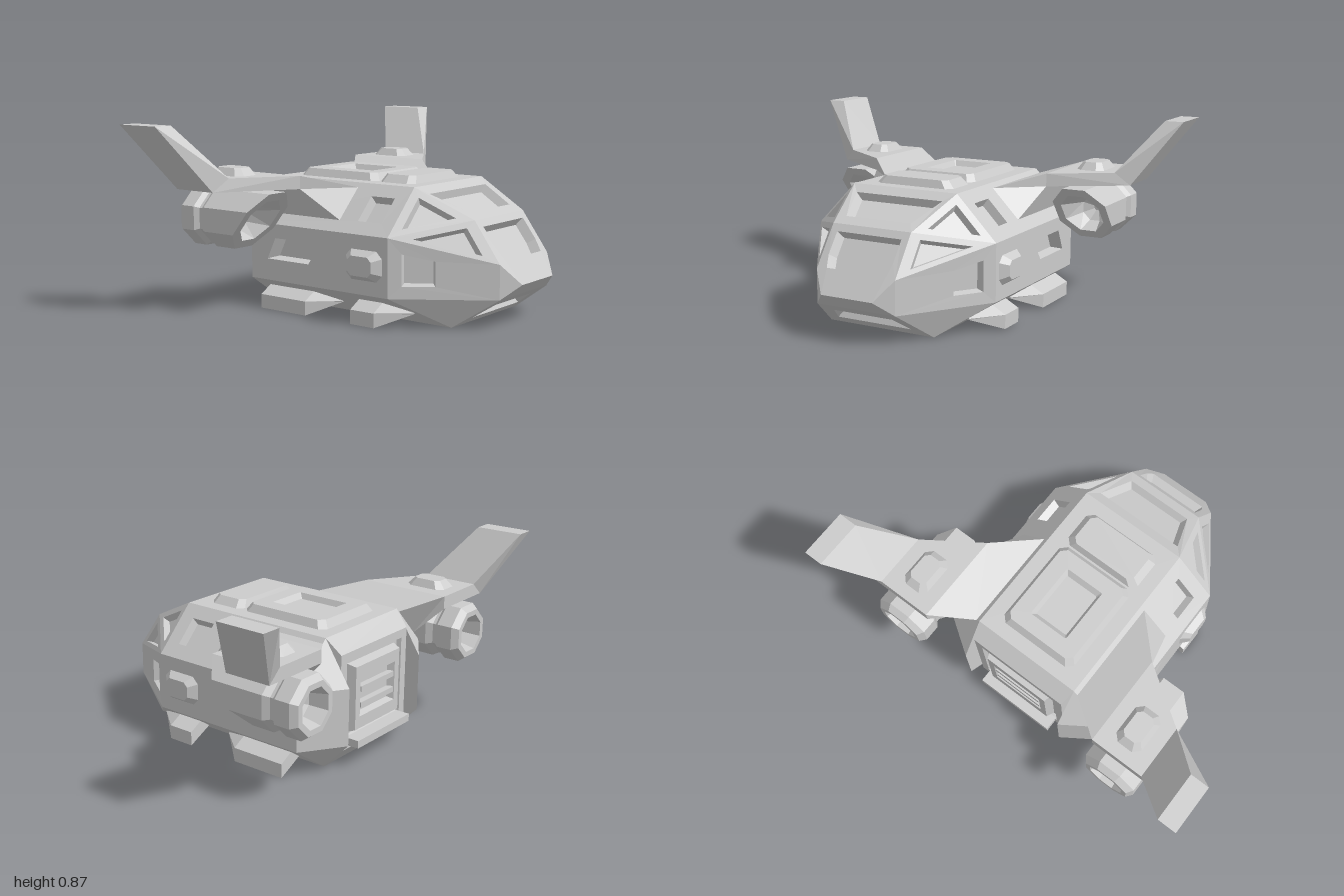
import * as THREE from 'three';

const material = new THREE.MeshStandardMaterial({ color: 0xcccccc, flatShading: true });
const vec = p => new THREE.Vector3(...p);
const flipX = ([x, y, z]) => [-x, y, z];
const centre = pts => pts.reduce((s, p) => s.add(vec(p)), new THREE.Vector3()).divideScalar(pts.length);

// Newell normal of a polygon
function normalOf(pts) {
  const n = new THREE.Vector3();
  pts.forEach((p, i) => n.add(vec(p).cross(vec(pts[(i + 1) % pts.length]))));
  return n.normalize();
}
function fan(tris, pts) {
  for (let i = 1; i < pts.length - 1; i++) tris.push([pts[0], pts[i], pts[i + 1]]);
}
function band(tris, a, b) {
  a.forEach((p, i) => {
    const j = (i + 1) % a.length;
    fan(tris, [p, a[j], b[j], b[i]]);
  });
}

// Face with an optional inset: depth > 0 sinks it, depth < 0 raises it.
function panel(tris, outer, { inner = null, depth = 0, shrink = 0.88, out = null, open = false } = {}) {
  const dir = out ? vec(out) : centre(outer).sub(new THREE.Vector3(0, 0.3, 0));
  if (normalOf(outer).dot(dir) < 0) {
    outer = [...outer].reverse();
    inner = inner && [...inner].reverse();
  }
  if (!inner) { fan(tris, outer); return outer; }
  band(tris, outer, inner);
  const c = centre(inner), n = normalOf(outer);
  const floor = inner.map(p => vec(p).sub(c).multiplyScalar(shrink).add(c).addScaledVector(n, -depth).toArray());
  band(tris, inner, floor);
  if (!open) fan(tris, floor);
  return floor;
}
const bump = (tris, outline, height, shrink, out, open = false) =>
  panel(tris, outline, { inner: outline, depth: -height, shrink, out, open });
const inset = (pts, k) => {
  const c = centre(pts);
  return pts.map(p => vec(p).lerp(c, 1 - k).toArray());
};

// Closed skin through a row of cross-sections, turned outward by its volume
function loft(rings) {
  const tris = [];
  for (let i = 0; i < rings.length - 1; i++) band(tris, rings[i], rings[i + 1]);
  fan(tris, [...rings[0]].reverse());
  fan(tris, rings[rings.length - 1]);
  const volume = tris.reduce((s, [a, b, c]) => s + vec(a).dot(vec(b).cross(vec(c))), 0);
  return volume < 0 ? tris.map(([a, b, c]) => [a, c, b]) : tris;
}
function add(group, name, tris) {
  const geo = new THREE.BufferGeometry();
  geo.setAttribute('position', new THREE.Float32BufferAttribute(tris.flat(2), 3));
  geo.computeVertexNormals();
  const mesh = new THREE.Mesh(geo, material);
  mesh.name = name;
  group.add(mesh);
}
function addPair(group, name, tris) {
  add(group, name + 'Left', tris);
  add(group, name + 'Right', tris.map(([a, b, c]) => [flipX(a), flipX(c), flipX(b)]));
}
function addBox(group, name, w, h, d, x, y, z) {
  const mesh = new THREE.Mesh(new THREE.BoxGeometry(w, h, d), material);
  mesh.position.set(x, y, z);
  mesh.name = name;
  group.add(mesh);
}
// Rectangle with cut corners in two coordinates
const cutRect = (a0, a1, b0, b1, c, place) => [
  [a0 + c, b0], [a1 - c, b0], [a1, b0 + c], [a1, b1 - c],
  [a1 - c, b1], [a0 + c, b1], [a0, b1 - c], [a0, b0 + c]].map(([a, b]) => place(a, b));
const mirrorQuad = (a, b) => [a, flipX(a), flipX(b), b];

export function createModel() {
  const ship = new THREE.Group();
  ship.name = 'dropship';

  // Hull corner points on the left side: roof, shoulder, lower side, keel
  const R = [0.27, 0.6, 0.3], M = [0.465, 0.4, 0.3], L = [0.465, 0.135, 0.3], K = [0.27, 0, 0.5];
  const W = [0.2, 0.47, 0.57], U = [0.2, 0.29, 0.7], T = [0.13, 0.2, 0.77], S = [0.2, 0.135, 0.7];
  const back = ([x, y]) => [x, y, -0.5];
  const Rb = back(R), Mb = back(M), Lb = back(L), Kb = back(K);
  const At = [0.27, 0.4, -0.63], Ab = [0.27, 0.135, -0.63];

  // Hull sides
  const side = [];
  panel(side, [R, M, Mb, Rb], {
    inner: [[0.319, 0.55, 0.23], [0.416, 0.45, 0.23], [0.416, 0.45, 0.1], [0.319, 0.55, 0.1]], depth: 0.04 });
  panel(side, [M, L, Lb, Mb], {
    inner: [[0.465, 0.335, -0.08], [0.465, 0.235, -0.15], [0.465, 0.235, -0.4], [0.465, 0.335, -0.35]],
    depth: 0.05, shrink: 0.8 });
  panel(side, [L, K, Kb, Lb]);
  panel(side, [L, K, S]);
  panel(side, [U, S, T]);
  panel(side, [M, L, S, U], {
    inner: [[0.43, 0.33, 0.35], [0.43, 0.19, 0.35], [0.35, 0.19, 0.47], [0.35, 0.3, 0.47]], depth: 0.04 });
  for (const tri of [[R, M, W], [M, U, W]]) panel(side, tri, { inner: inset(tri, 0.62), depth: 0.03, shrink: 0.8 });
  // Rear corner wedges
  panel(side, [Mb, Lb, Ab, At]);
  panel(side, [Mb, Rb, At]);
  panel(side, [Lb, Kb, Ab]);
  panel(side, [Rb, Kb, Ab, At], { out: [-1, 0, 0] });
  addPair(ship, 'hullSide', side);

  // Hull centre: roof, belly, windscreens, chin
  const mid = [];
  panel(mid, mirrorQuad(R, Rb));
  panel(mid, mirrorQuad(K, Kb));
  panel(mid, mirrorQuad(R, W), {
    inner: mirrorQuad([0.225, 0.57, 0.35], [0.165, 0.495, 0.52]), depth: 0.035 });
  const brow = [W, U, T, flipX(T), flipX(U), flipX(W)];
  panel(mid, brow, {
    inner: [[0.165, 0.44, 0.592], [0.165, 0.35, 0.659], [0.15, 0.3, 0.696]]
      .flatMap((p, i, a) => i < 2 ? [p] : [p, ...a.map(flipX).reverse()]),
    depth: 0.04 });
  panel(mid, mirrorQuad(T, S));
  panel(mid, mirrorQuad(S, K), {
    inner: mirrorQuad([0.15, 0.1, 0.648], [0.19, 0.04, 0.559]), depth: 0.03, out: [0, -1, 1] });
  // Sloped rear frame
  const Ft = [0.25, 0.53, -0.57], Fb = [0.25, 0.08, -0.57];
  panel(mid, mirrorQuad(Rb, Ft));
  panel(mid, mirrorQuad(Kb, Fb), { out: [0, -1, -1] });
  for (const f of [p => p, flipX]) panel(mid, [Rb, Kb, Fb, Ft].map(f));
  panel(mid, mirrorQuad(Ft, Fb), {
    inner: mirrorQuad([0.21, 0.49, -0.57], [0.21, 0.13, -0.57]), depth: 0.02, shrink: 0.96 });
  addShell(ship, mid);

  // Rear door, window bars and sill
  const door = [];
  const doorCap = bump(door, mirrorQuad([0.18, 0.47, -0.55], [0.18, 0.15, -0.55]), 0.04, 0.92, [0, 0, -1], true);
  panel(door, doorCap, { inner: doorCap.map(([x, y, z]) => [x * 0.8, 0.31 + (y - 0.31) * 0.62, z]), depth: 0.03, out: [0, 0, -1] });
  add(ship, 'rearDoor', door);
  for (const y of [0.27, 0.345]) addBox(ship, 'doorBar', 0.25, 0.025, 0.03, 0, y, -0.575);
  addBox(ship, 'rearSill', 0.4, 0.035, 0.07, 0, 0.1175, -0.598);

  // Raised roof plates, the rear one with a sunken hatch
  const up = [0, 1, 0], roof = (x, z) => [x, 0.6, z];
  const hatch = [], plate = [];
  const cap = bump(hatch, cutRect(-0.2, 0.2, -0.435, 0.03, 0.03, roof), 0.035, 0.9, up, true);
  // the sunken outline is ordered to match the cap
  const cx = centre(cap);
  panel(hatch, cap, { inner: cap.map(([x, y, z]) => [Math.sign(x) * (Math.abs(x) > 0.165 ? 0.1 : 0.095), y,
    cx.z + Math.sign(z - cx.z) * (Math.abs(z - cx.z) > 0.19 ? 0.135 : 0.13)]), depth: 0.025, shrink: 0.85, out: up });
  add(ship, 'roofHatch', hatch);
  bump(plate, cutRect(-0.2, 0.2, 0.04, 0.235, 0.03, roof), 0.035, 0.84, up);
  add(ship, 'roofPlate', plate);

  // Side hatches
  const blister = [];
  bump(blister, cutRect(0.07, 0.27, 0.2, 0.335, 0.03, (z, y) => [0.465, y, z]), 0.035, 0.65, [1, 0, 0]);
  addPair(ship, 'sideBlister', blister);

  // Landing skids, tapering into the hull at the front
  for (const [tip, front, rear] of [[0.37, 0.235, 0.105], [-0.03, -0.16, -0.43]]) {
    const section = z => [[0.48, 0, z], [0.48, 0.065, z], [0.4, 0.11, z], [0.35, 0.065, z]];
    const nose = [[0.37, 0.06, tip], [0.372, 0.065, tip], [0.37, 0.07, tip], [0.35, 0.065, tip]];
    addPair(ship, 'skid', loft([nose, section(front), section(rear)]));
  }

  // Wings with raised tips
  addPair(ship, 'wing', loft([
    [[0.29, 0.58, 0], [0.42, 0.445, 0], [0.42, 0.445, -0.5], [0.29, 0.58, -0.5]],
    [[0.47, 0.635, -0.19], [0.47, 0.575, -0.19], [0.47, 0.575, -0.63], [0.47, 0.635, -0.63]],
    [[0.735, 0.635, -0.37], [0.8, 0.575, -0.405], [0.8, 0.575, -0.63], [0.735, 0.635, -0.63]],
    [[0.91, 0.87, -0.54], [1, 0.87, -0.54], [1, 0.87, -0.77], [0.91, 0.87, -0.77]]]));
  const pod = [];
  bump(pod, cutRect(0.535, 0.67, -0.57, -0.37, 0.03, (x, z) => [x, 0.635, z]), 0.035, 0.68, up);
  addPair(ship, 'wingPod', pod);

  // Eight-sided engines with a raked intake and hollow nozzle
  const ring = (r, z) => Array.from({ length: 8 }, (_, i) => {
    const a = (i + 0.5) * Math.PI / 4, k = r / Math.cos(Math.PI / 8);
    const y = 0.437 + k * Math.sin(a);
    return [0.602 + k * Math.cos(a), y, z ?? -0.2 - (0.57 - y) * 0.83];
  });
  addPair(ship, 'engine', loft([
    ring(0.015, -0.5), ring(0.06, -0.47), ring(0.095), ring(0.132), ring(0.132, -0.535), ring(0.115, -0.565),
    ring(0.115, -0.58), ring(0.132, -0.6), ring(0.132, -0.675), ring(0.11, -0.705),
    ring(0.085, -0.705), ring(0.065, -0.62), ring(0.03, -0.6)]));
  return ship;
}

function addShell(group, tris) {
  add(group, 'hullCentre', tris);
}
